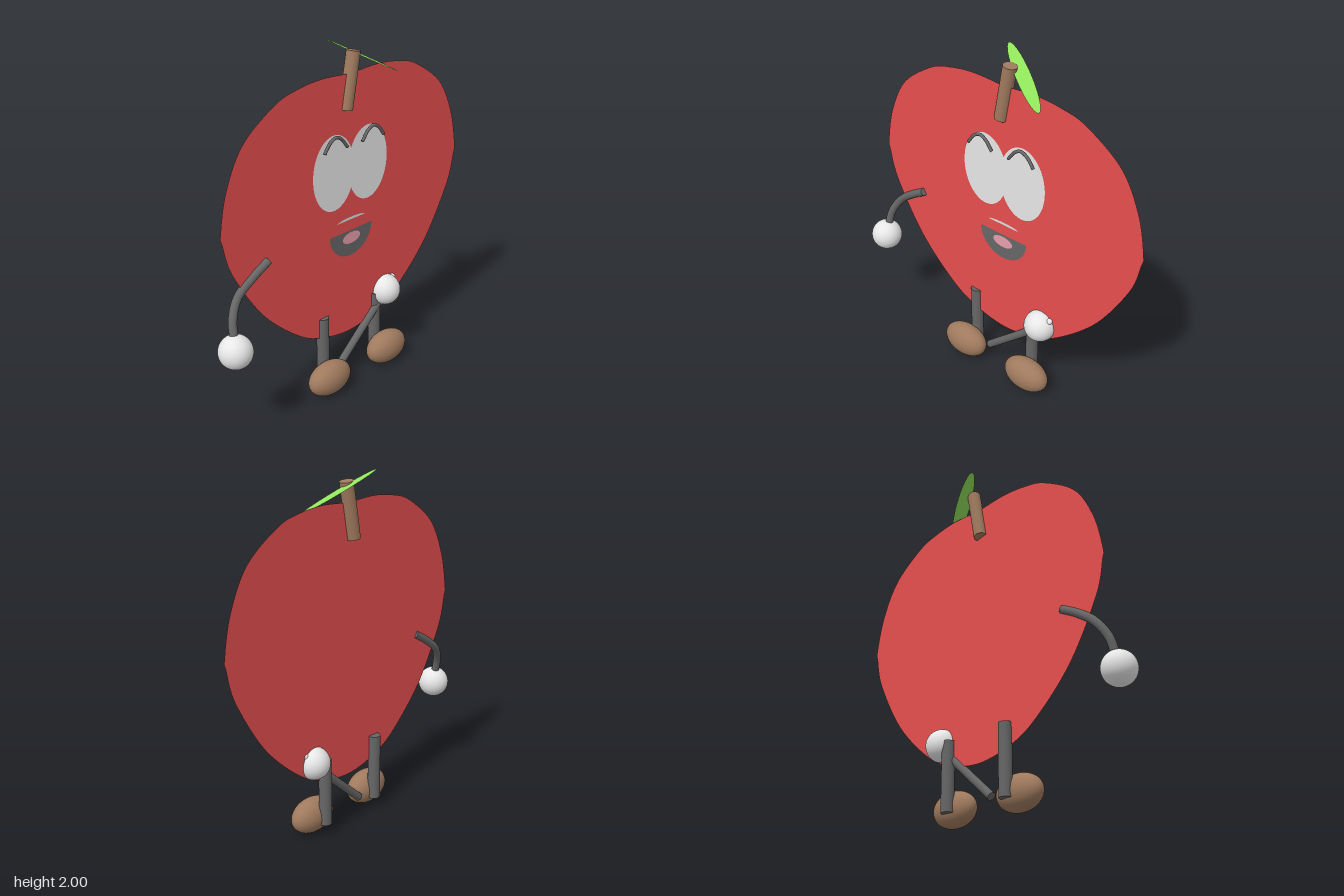
import * as THREE from 'three';

const material = (name, color, side = THREE.FrontSide) => {
  const m = new THREE.MeshStandardMaterial({ color, side });
  m.name = name;
  return m;
};
const V = (x, y, z) => new THREE.Vector3(x, y, z);

export function createModel() {
  const root = new THREE.Group();
  root.name = 'fruitCharacter';
  const red = material('red skin', 0xff5757, THREE.DoubleSide);
  const white = material('white', 0xffffff);
  const charcoal = material('charcoal', 0x666666);
  const brown = material('brown', 0xa07a5e);
  const green = material('leaf green', 0x92e65c, THREE.DoubleSide);
  const pink = material('tongue pink', 0xffafbf);
  const pale = material('pale lip', 0xd8e8ec);

  const add = (name, geometry, mat, x = 0, y = 0, z = 0, parent = root) => {
    const mesh = new THREE.Mesh(geometry, mat);
    mesh.name = name;
    mesh.position.set(x, y, z);
    parent.add(mesh);
    return mesh;
  };
  const ball = (name, mat, x, y, z, rx, ry = rx, rz = rx) =>
    add(name, new THREE.SphereGeometry(1, 40, 28), mat, x, y, z).scale.set(rx, ry, rz);
  // Flat ellipse, or part of one, facing the front
  const oval = (name, mat, x, y, z, rx, ry, start = 0, sweep = Math.PI * 2) =>
    add(name, new THREE.CircleGeometry(1, 56, start, sweep), mat, x, y, z).scale.set(rx, ry, 1);
  // Straight rod between two points
  const rod = (name, mat, a, b, r) => {
    const mesh = add(name, new THREE.CylinderGeometry(r, r, a.distanceTo(b), 28), mat);
    mesh.position.copy(a).lerp(b, 0.5);
    mesh.quaternion.setFromUnitVectors(V(0, 1, 0), b.clone().sub(a).normalize());
  };
  // Bent tube with flat end caps
  const tube = (name, mat, points, r) => {
    const group = new THREE.Group();
    group.name = name;
    root.add(group);
    const curve = new THREE.CatmullRomCurve3(points);
    add(name + 'Tube', new THREE.TubeGeometry(curve, 40, r, 16), mat, 0, 0, 0, group);
    for (const t of [0, 1]) {
      const cap = add(name + 'Cap', new THREE.CircleGeometry(r, 16), mat, 0, 0, 0, group);
      cap.position.copy(curve.getPoint(t));
      cap.quaternion.setFromUnitVectors(V(0, 0, 1), curve.getTangent(t).multiplyScalar(t ? 1 : -1));
    }
  };

  // Flat body, mirrored about its own centre line
  const cx = 0.045, plane = -0.018;
  const half = [[0.2, 1.837], [0.365, 1.82], [0.515, 1.775], [0.725, 1.627], [0.84, 1.42], [0.889, 1.21],
    [0.883, 1.145], [0.83, 0.96], [0.645, 0.655], [0.405, 0.425], [0.225, 0.33]];
  const right = half.map(([x, y]) => new THREE.Vector2(cx + x, y));
  const left = half.map(([x, y]) => new THREE.Vector2(cx - x, y)).reverse();
  const top = new THREE.Vector2(cx, 1.825), bottom = new THREE.Vector2(cx, 0.288);
  const outline = new THREE.Shape();
  outline.moveTo(cx, 1.825);
  outline.splineThru([...right, bottom, ...left, top]);
  add('body', new THREE.ShapeGeometry(outline, 12), red, 0, 0, plane);

  // Face
  for (const s of [-1, 1]) {
    const side = s > 0 ? 'left' : 'right';
    oval(side + 'Eye', white, cx + s * 0.128, 1.305, plane + 0.004 + s * 0.0005, 0.152, 0.215);
    const bx = cx + s * 0.14;
    tube(side + 'Brow', charcoal, [[-0.083, 1.447], [-0.04, 1.5], [0, 1.518], [0.04, 1.5], [0.083, 1.447]]
      .map(([x, y]) => V(bx + x, y, 0.014)), 0.009);
  }
  oval('mouth', charcoal, cx, 0.935, plane + 0.004, 0.163, 0.155, Math.PI, Math.PI);
  oval('tongue', pink, cx, 0.89, plane + 0.008, 0.068, 0.034);
  oval('upperLip', pale, cx + 0.002, 1.0, plane + 0.004, 0.105, 0.015, 0, Math.PI);

  // Stem and leaf
  rod('stem', brown, V(0.017, 1.635, -0.027), V(0.073, 1.94, -0.027), 0.038);
  const tipA = V(-0.03, 2.0, -0.14), tipB = V(0.325, 1.795, 0.055);
  const along = tipB.clone().sub(tipA).normalize();
  const across = V(-along.z, 0, along.x).normalize();
  const leaf = add('leaf', new THREE.CircleGeometry(1, 40), green);
  leaf.position.copy(tipA).lerp(tipB, 0.5);
  leaf.quaternion.setFromRotationMatrix(
    new THREE.Matrix4().makeBasis(along, across.clone().negate(), across.clone().cross(along)));
  leaf.scale.set(tipA.distanceTo(tipB) / 2, 0.042, 1);

  // Legs and shoes
  for (const [side, legX, shoeX] of [['right', -0.166, -0.19], ['left', 0.257, 0.281]]) {
    rod(side + 'Leg', charcoal, V(legX, 0.066, -0.028), V(legX, 0.457, -0.028), 0.036);
    ball(side + 'Shoe', brown, shoeX, 0.103, 0.05, 0.146, 0.1, 0.083);
  }

  // Right arm hangs at the side
  tube('rightArm', charcoal, [V(-0.56, 0.967, -0.01), V(-0.66, 0.91, -0.013), V(-0.765, 0.83, -0.015),
    V(-0.825, 0.735, 0.012), V(-0.842, 0.62, 0.042)], 0.023);
  ball('rightHand', white, -0.846, 0.577, 0.05, 0.092);

  // Left arm reaches across the legs
  rod('leftArm', charcoal, V(-0.05, 0.1, -0.01), V(0.31, 0.42, -0.01), 0.023);
  ball('leftHand', white, 0.326, 0.452, -0.009, 0.092);
  for (const x of [0.28, 0.39]) ball('leftKnuckle', white, x, 0.512, -0.009, 0.018);

  return root;
}
